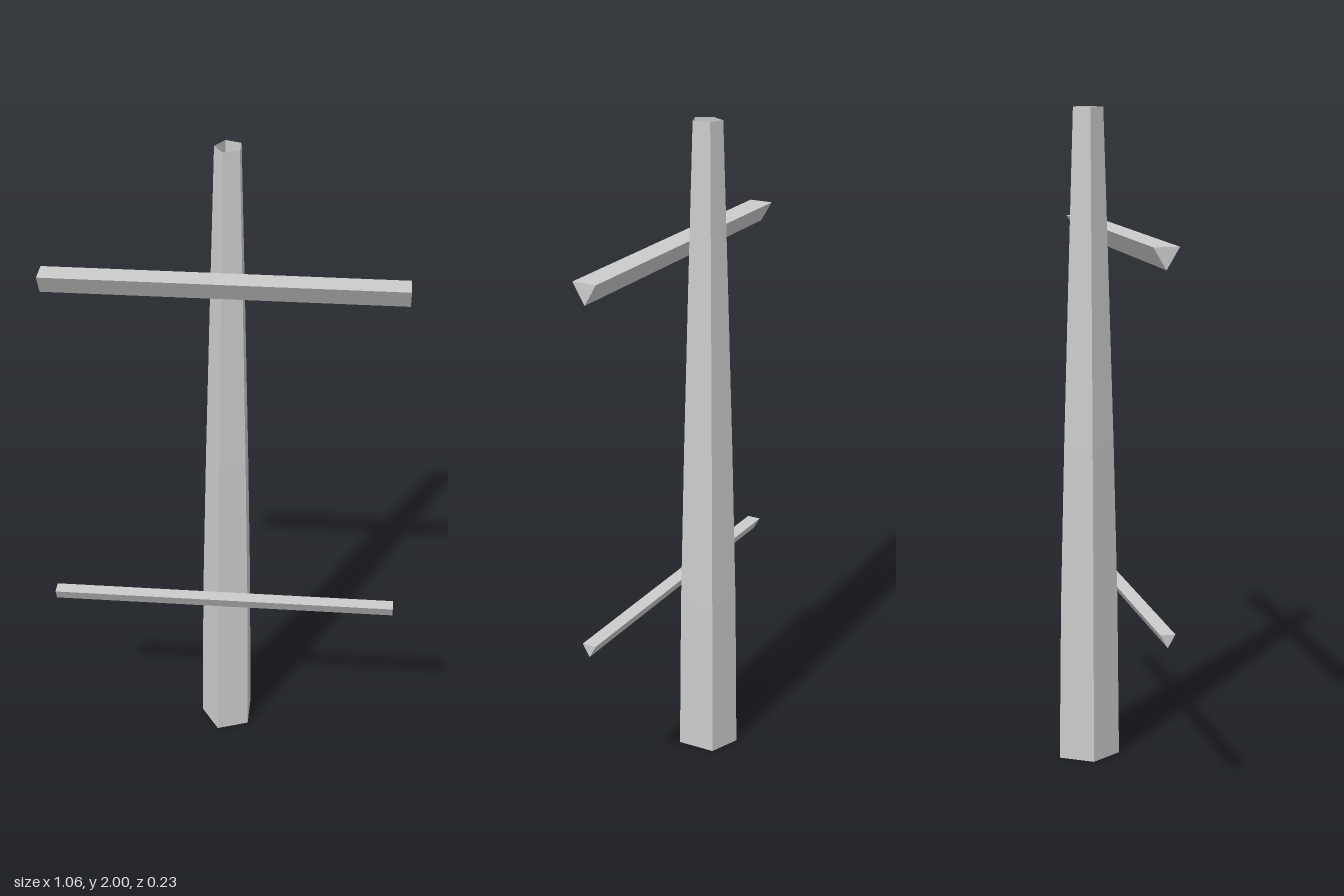
import * as THREE from 'three';

const BEAM_LENGTH = 1.056;

export function createModel() {
  const model = new THREE.Group();
  const grey = new THREE.MeshStandardMaterial({ color: 0xcccccc, flatShading: true });
  const thinGrey = grey.clone();
  thinGrey.side = THREE.DoubleSide;

  // Hollow five-sided pole, open at both ends, tapering in a slight bulge
  const profile = [[0.0857, 0], [0.0803, 0.5], [0.069, 1], [0.0553, 1.5], [0.041, 2]]
    .map(([r, y]) => new THREE.Vector2(r, y));
  const pole = new THREE.Mesh(new THREE.LatheGeometry(profile, 5, -Math.PI / 2), thinGrey);
  pole.name = 'pole';
  pole.scale.z = 1.17;
  pole.position.set(0.006, 0, -0.018);
  model.add(pole);

  // Triangular crossbar with a flat top and its ridge pointing down
  function addCrossbar(name, top, bottom, z, width) {
    const section = new THREE.Shape([
      new THREE.Vector2(-width / 2, top),
      new THREE.Vector2(0, bottom),
      new THREE.Vector2(width / 2, top),
    ]);
    const geometry = new THREE.ExtrudeGeometry(section, { depth: BEAM_LENGTH, bevelEnabled: false });
    geometry.translate(0, 0, -BEAM_LENGTH / 2).rotateY(Math.PI / 2);
    const bar = new THREE.Mesh(geometry, grey);
    bar.name = name;
    bar.position.z = z;
    model.add(bar);
  }
  addCrossbar('upperCrossbar', 1.64, 1.577, 0.075, 0.075);
  addCrossbar('lowerCrossbar', 0.546, 0.507, 0.088, 0.044);

  return model;
}
